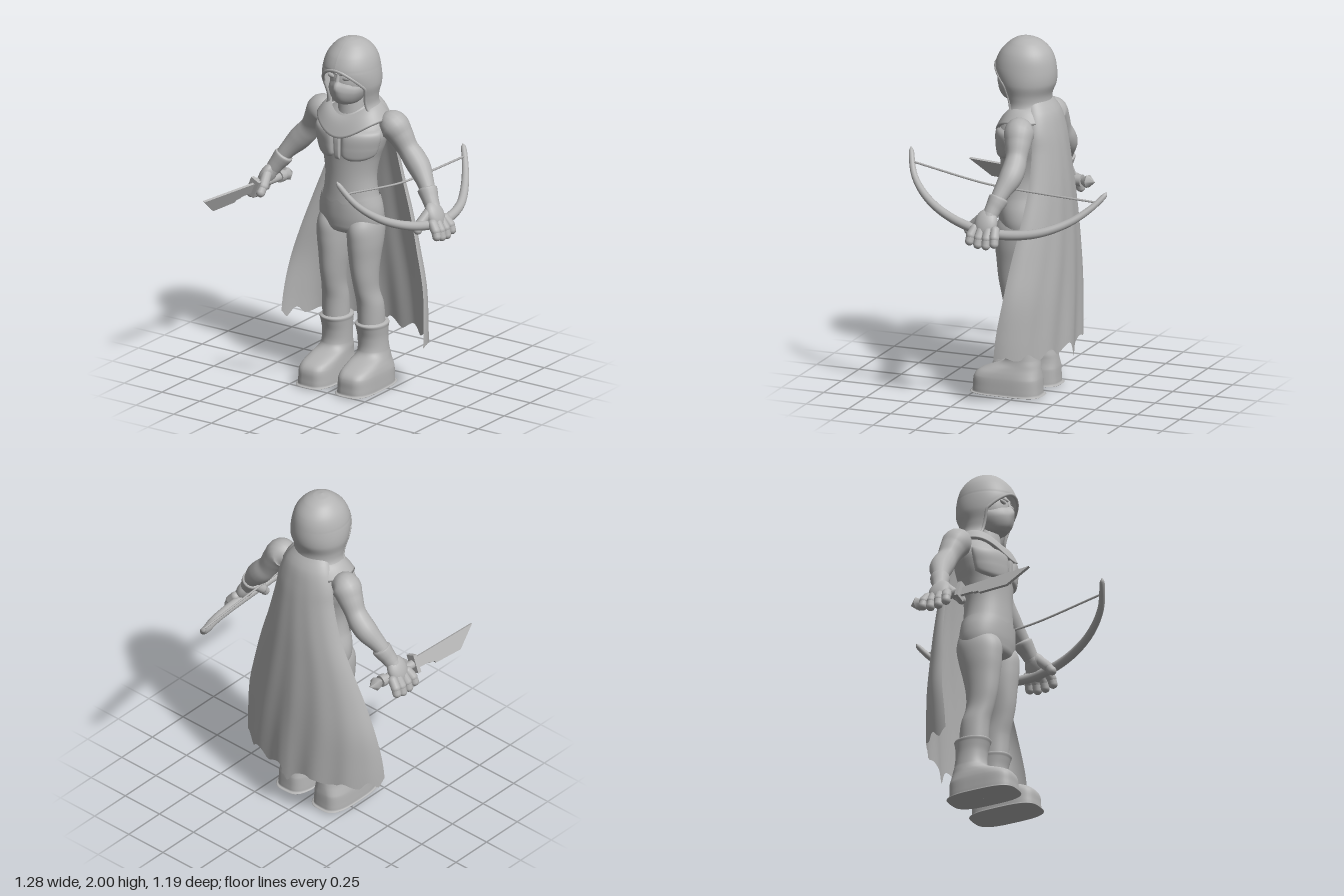
import * as THREE from 'three';

const grey = new THREE.MeshStandardMaterial({ color: 0xb4b4b4, side: THREE.DoubleSide });
const V = (x, y, z) => new THREE.Vector3(x, y, z);
const { sin, cos, abs, PI, exp, max, min, sqrt, sign } = Math;

// Smooth lookup in a table whose first column is the key
function at(rows, key) {
  const up = rows[1][0] > rows[0][0];
  let i = 0;
  while (i < rows.length - 2 && (up ? key > rows[i + 1][0] : key < rows[i + 1][0])) i++;
  const slope = (k, c) => {
    const a = rows[max(0, k - 1)], b = rows[min(rows.length - 1, k + 1)];
    return (b[c] - a[c]) / (b[0] - a[0]);
  };
  const a = rows[i], b = rows[i + 1], h = b[0] - a[0], t = min(1, max(0, (key - a[0]) / h));
  return a.map((p, c) => (2 * t ** 3 - 3 * t * t + 1) * p + (3 * t * t - 2 * t ** 3) * b[c]
    + (t ** 3 - 2 * t * t + t) * h * slope(i, c) + (t ** 3 - t * t) * h * slope(i + 1, c));
}

// Surface from a rule f(u, v), optionally closed around u
function grid(nu, nv, f, closed = false) {
  const pos = [], idx = [], w = closed ? nu : nu + 1;
  for (let j = 0; j <= nv; j++) for (let i = 0; i < w; i++) pos.push(...f(i / nu, j / nv).toArray());
  for (let j = 0; j < nv; j++) for (let i = 0; i < nu; i++) {
    const a = j * w + i, b = j * w + (i + 1) % w;
    idx.push(a, a + w, b, b, a + w, b + w);
  }
  const g = new THREE.BufferGeometry();
  g.setAttribute('position', new THREE.Float32BufferAttribute(pos, 3));
  g.setIndex(idx);
  g.computeVertexNormals();
  return g;
}

// Point on a body of rows [y, halfWidth, zFront, zBack, centreX]
function ringPoint(rows, y, th, off = 0, e = 1) {
  const [, rx, zf, zb, cx = 0] = at(rows, y);
  const p = (v) => sign(v) * abs(v) ** e;
  return V(cx + (rx + off) * p(sin(th)), y, (zf + zb) / 2 + ((zf - zb) / 2 + off) * p(cos(th)));
}
const rowY = (rows, v) => {
  const k = v * (rows.length - 1), i = min(rows.length - 2, Math.floor(k));
  return rows[i][0] + (rows[i + 1][0] - rows[i][0]) * (k - i);
};
const loft = (rows, squareness = () => 1) => grid(40, (rows.length - 1) * 5, (u, v) => {
  const y = rowY(rows, v);
  return ringPoint(rows, y, u * 2 * PI, 0, squareness(y));
}, true);

// Round limb through points [x, y, z, radius]
function sweep(pts, side = null) {
  const curve = new THREE.CatmullRomCurve3(pts.map((p) => V(p[0], p[1], p[2])));
  const radii = pts.map((p, i) => [i / (pts.length - 1), p[3]]);
  return grid(18, pts.length * 5, (u, v) => {
    const t = curve.getTangent(v);
    const n = V(0, 0, 0).crossVectors(t, side ?? V(0, 0, 1)).normalize();
    const b = V(0, 0, 0).crossVectors(t, n), r = at(radii, v)[1];
    return curve.getPoint(v).addScaledVector(n, r * cos(u * 2 * PI)).addScaledVector(b, r * sin(u * 2 * PI));
  }, true);
}

function capsule(a, b, r) {
  const d = b.clone().sub(a), g = new THREE.CapsuleGeometry(r, d.length(), 6, 12);
  g.applyQuaternion(new THREE.Quaternion().setFromUnitVectors(V(0, 1, 0), d.normalize()));
  return g.translate((a.x + b.x) / 2, (a.y + b.y) / 2, (a.z + b.z) / 2);
}
const ball = (x, y, z, sx, sy, sz, roll = 0) =>
  new THREE.SphereGeometry(1, 24, 16).scale(sx, sy, sz).rotateZ(roll).translate(x, y, z);

export function createModel() {
  const model = new THREE.Group();
  const add = (name, g, parent = model) => {
    const m = new THREE.Mesh(g, grey);
    m.name = name;
    parent.add(m);
  };

  // Torso, chest plates, breastbone strip and waistband
  const torso = [[1.62, 0.08, 0.05, -0.1], [1.56, 0.16, 0.1, -0.14], [1.48, 0.205, 0.15, -0.16], [1.4, 0.192, 0.156, -0.15],
    [1.32, 0.165, 0.15, -0.13], [1.22, 0.148, 0.147, -0.11], [1.12, 0.157, 0.15, -0.11], [1.04, 0.182, 0.153, -0.12],
    [0.96, 0.188, 0.15, -0.13], [0.91, 0.165, 0.135, -0.12], [0.885, 0.1, 0.09, -0.08], [0.875, 0.02, 0.03, -0.02]];
  add('torso', loft(torso));
  for (const s of [1, -1]) {
    add('chestPlate', grid(28, 28, (u, v) => {
      const lo = 1.325 + 0.035 * u ** 4 + 0.03 * (1 - u) ** 8;
      const off = 0.016 * (1 - (2 * u - 1) ** 12) * (1 - (2 * v - 1) ** 12);
      return ringPoint(torso, lo + (1.5 - lo) * v, s * (0.13 + 1.25 * u), off);
    }));
  }
  add('breastbone', grid(10, 16, (u, v) =>
    ringPoint(torso, 1.33 + 0.15 * v, (u * 2 - 1) * 0.1, 0.011 * (1 - (2 * u - 1) ** 8) * (1 - (2 * v - 1) ** 12))));
  add('trouserWaist', grid(72, 8, (u, v) => {
    const th = (u * 2 - 1) * PI;
    const top = 1.065 + 0.04 * abs(sin(th)) + 0.03 * exp(-((th / 0.12) ** 2));
    return ringPoint(torso, top + (0.94 - top) * v, th, 0.007 * (1 - v));
  }));

  // Shoulder mantle with a V at the front, edge turned in
  add('mantle', grid(60, 12, (u, v) => {
    const th = u * 2 * PI, f = max(0, cos(th)), k = min(1, v / 0.9);
    const a = V(0.125 * sin(th), 1.635 - 0.065 * f * f, -0.01 + 0.115 * cos(th));
    const b = V(0.212 * sin(th), 1.55 - 0.092 * f ** 3, -0.005 + 0.176 * cos(th));
    const p = a.lerp(b, k);
    p.y += 0.016 * sin(k * PI) - (v > 0.95 ? 0.004 : 0);
    return v > 0.95 ? V(p.x * 0.9, p.y, p.z * 0.88) : p;
  }, true));

  // Head, mask and eyes
  add('neck', new THREE.CylinderGeometry(0.072, 0.09, 0.18, 24).translate(0, 1.6, 0.005));
  add('head', ball(0, 1.775, 0.025, 0.107, 0.14, 0.128));
  const mask = [[1.775, 0.1, 0.156, -0.08], [1.75, 0.105, 0.167, -0.08], [1.72, 0.1, 0.172, -0.08],
    [1.68, 0.082, 0.163, -0.07], [1.65, 0.06, 0.14, -0.05], [1.64, 0.035, 0.115, -0.02], [1.637, 0.005, 0.06, 0.04]];
  add('mask', grid(36, 30, (u, v) => {
    const th = (u * 2 - 1) * 2.2, y = rowY(mask, v), p = ringPoint(mask, y, th, 0, 1.08);
    p.y -= 0.02 * (1 - v) * min(1, abs(th)) ** 2 - 0.012 * (1 - v) * exp(-((th / 0.25) ** 2));
    p.z += 0.013 * exp(-((th / 0.2) ** 2) - ((y - 1.745) / 0.03) ** 2);
    return p;
  }));
  for (const s of [1, -1]) {
    add('eye', ball(s * 0.046, 1.802, 0.137, 0.027, 0.013, 0.012, s * 0.12));
    add('brow', capsule(V(s * 0.012, 1.822, 0.143), V(s * 0.08, 1.834, 0.113), 0.009));
  }
  add('noseBridge', capsule(V(0, 1.825, 0.138), V(0, 1.77, 0.156), 0.012));

  // Hood shell and its rolled rim
  const hood = [[2, 0.001, 0.021, 0.019], [1.992, 0.045, 0.06, -0.035], [1.965, 0.092, 0.105, -0.09], [1.91, 0.134, 0.156, -0.137],
    [1.83, 0.156, 0.184, -0.158], [1.75, 0.161, 0.168, -0.157], [1.68, 0.147, 0.135, -0.132], [1.63, 0.147, 0.12, -0.135],
    [1.58, 0.175, 0.12, -0.17]];
  const gap = (y) => 1.05 * sqrt(min(1, max(0, (1.85 - y) / 0.11)));
  add('hood', grid(48, 64, (u, v) => {
    const y = rowY(hood, v), a = gap(y);
    return ringPoint(hood, y, a + u * (2 * PI - 2 * a));
  }));
  const rim = [];
  for (let i = -14; i <= 14; i++) {
    const t = abs(i) / 14, y = 1.85 - 0.26 * t * t;
    rim.push(ringPoint(hood, y, sign(i) * gap(y), -0.004));
  }
  add('hoodRim', new THREE.TubeGeometry(new THREE.CatmullRomCurve3(rim), 80, 0.009, 8));

  // Cape with folds and a ragged hem: rows [y, halfWidth, zSide, zBack]
  const cape = [[1.66, 0.11, -0.06, -0.125], [1.6, 0.15, -0.08, -0.17], [1.5, 0.185, -0.1, -0.198], [1.4, 0.2, -0.105, -0.215],
    [1.2, 0.25, -0.105, -0.236], [1, 0.32, -0.085, -0.248], [0.8, 0.385, -0.055, -0.257], [0.6, 0.44, -0.03, -0.262],
    [0.4, 0.465, 0, -0.266], [0.2, 0.472, 0.015, -0.268]];
  add('cape', grid(120, 50, (u, v) => {
    const k = u * 2 - 1, ph = k * PI / 2;
    const hem = 0.275 + 0.02 * abs(sin(k * 14)) + 0.014 * sin(k * 23) - 0.06 * exp(-((k / 0.04) ** 2));
    const y = 1.66 + (hem - 1.66) * v, [, w, zs, zb] = at(cape, y);
    const fold = 1 + 0.03 * v * (cos(ph * 13 + 1.5 * sin(4 * v)) - 0.3) * cos(ph);
    return V(w * sin(ph), y, zs - (zs - zb) * cos(ph) * fold);
  }));

  // Legs, boots, arms and hands
  for (const s of [1, -1]) {
    const side = new THREE.Group();
    side.name = s > 0 ? 'leftLimbs' : 'rightLimbs';
    side.scale.x = s;
    model.add(side);
    add('leg', loft([[1.02, 0.07, 0.1, -0.1, 0.095], [0.94, 0.09, 0.147, -0.115, 0.098], [0.85, 0.09, 0.15, -0.1, 0.1],
      [0.75, 0.08, 0.14, -0.075, 0.1], [0.65, 0.069, 0.128, -0.055, 0.104], [0.56, 0.063, 0.108, -0.055, 0.108],
      [0.47, 0.071, 0.085, -0.08, 0.115], [0.34, 0.072, 0.075, -0.09, 0.117]]), side);
    add('boot', loft([[0.37, 0.07, 0.075, -0.09, 0.117], [0.362, 0.086, 0.092, -0.115, 0.117], [0.34, 0.084, 0.085, -0.112, 0.117],
      [0.28, 0.08, 0.07, -0.108, 0.117], [0.21, 0.081, 0.073, -0.115, 0.12], [0.18, 0.085, 0.1, -0.12, 0.122],
      [0.155, 0.09, 0.17, -0.123, 0.125], [0.13, 0.095, 0.228, -0.126, 0.128], [0.1, 0.099, 0.252, -0.129, 0.13],
      [0.05, 0.102, 0.257, -0.13, 0.13], [0.015, 0.103, 0.259, -0.131, 0.13], [0.006, 0.101, 0.256, -0.129, 0.13],
      [0, 0.001, 0.06, 0.058, 0.13]], (y) => min(0.95, 0.62 + max(0, y - 0.1) * 3)), side);
    add('arm', sweep([[0.17, 1.53, -0.045, 0.05], [0.23, 1.52, -0.045, 0.083], [0.275, 1.465, -0.055, 0.072],
      [0.315, 1.4, -0.062, 0.06], [0.355, 1.35, -0.065, 0.064], [0.4, 1.3, -0.058, 0.063],
      [0.455, 1.235, -0.033, 0.048], [0.5, 1.17, -0.01, 0.039], [0.535, 1.11, 0.008, 0.04]]), side);
    add('cuff', sweep([[0.47, 1.21, -0.025, 0.044], [0.474, 1.203, -0.023, 0.054], [0.488, 1.182, -0.016, 0.052],
      [0.506, 1.155, -0.006, 0.046], [0.525, 1.125, 0.003, 0.042]]), side);
    add('palm', ball(0.555, 1.08, 0.018, 0.04, 0.082, 0.065, 0.45), side);
    for (let i = 0; i < 4; i++) {
      const k = abs(i - 1.4), z = -0.045 + i * 0.04;
      const knuckle = V(0.578, 1.05, z), joint = V(0.605, 1.005 + k * 0.008, z * 1.15), tip = V(0.615, 0.966 + k * 0.014, z * 1.2);
      add('finger', capsule(knuckle, joint, 0.027), side);
      add('fingertip', capsule(joint, tip, 0.025), side);
    }
    add('thumb', capsule(V(0.535, 1.1, 0.055), V(0.52, 1.05, 0.11), 0.028), side);
    add('thumbTip', capsule(V(0.52, 1.05, 0.11), V(0.52, 1.02, 0.135), 0.025), side);
  }

  // Sword in the right hand, pointing forward
  const sword = new THREE.Group();
  sword.name = 'sword';
  sword.position.set(-0.543, 1.05, 0);
  sword.rotation.set(0, -0.1, -0.4);
  model.add(sword);
  const blade = new THREE.Shape([[0.14, 0.028], [0.59, 0.046], [0.47, -0.056], [0.29, -0.056], [0.28, -0.042],
    [0.25, -0.042], [0.24, -0.034], [0.14, -0.034]].map((p) => new THREE.Vector2(...p)));
  add('blade', new THREE.ExtrudeGeometry(blade, { depth: 0.014, bevelEnabled: false }).translate(0, 0, -0.007).rotateY(-PI / 2), sword);
  add('guard', new THREE.BoxGeometry(0.06, 0.105, 0.022).translate(0, 0, 0.15), sword);
  add('grip', new THREE.CylinderGeometry(0.024, 0.024, 0.24, 16).rotateX(PI / 2).translate(0, 0, 0.025), sword);
  add('gripCollar', new THREE.CylinderGeometry(0.034, 0.034, 0.035, 12).rotateX(PI / 2).translate(0, 0, -0.08), sword);
  add('pommel', new THREE.CylinderGeometry(0.04, 0.02, 0.035, 6).rotateX(-PI / 2).translate(0, 0, -0.115), sword);
  add('pommelPoint', new THREE.ConeGeometry(0.04, 0.045, 6).rotateX(-PI / 2).translate(0, 0, -0.155), sword);

  // Bow in the left hand, with its string
  add('bow', sweep([[0.285, 1.385, 0.572, 0.002], [0.295, 1.365, 0.567, 0.014], [0.375, 1.25, 0.515, 0.018], [0.455, 1.15, 0.4, 0.022],
    [0.52, 1.075, 0.23, 0.025], [0.553, 1.035, 0.05, 0.027], [0.555, 1.025, -0.1, 0.027], [0.522, 1.045, -0.27, 0.025],
    [0.45, 1.1, -0.42, 0.022], [0.38, 1.175, -0.525, 0.018], [0.325, 1.245, -0.588, 0.014], [0.315, 1.26, -0.594, 0.002]], V(0.8, 0.6, 0)));
  add('bowString', new THREE.TubeGeometry(new THREE.CatmullRomCurve3(
    [V(0.337, 1.315, 0.53), V(0.37, 1.25, 0.1), V(0.372, 1.235, -0.1), V(0.36, 1.21, -0.55)]), 24, 0.006, 6));

  return model;
}
